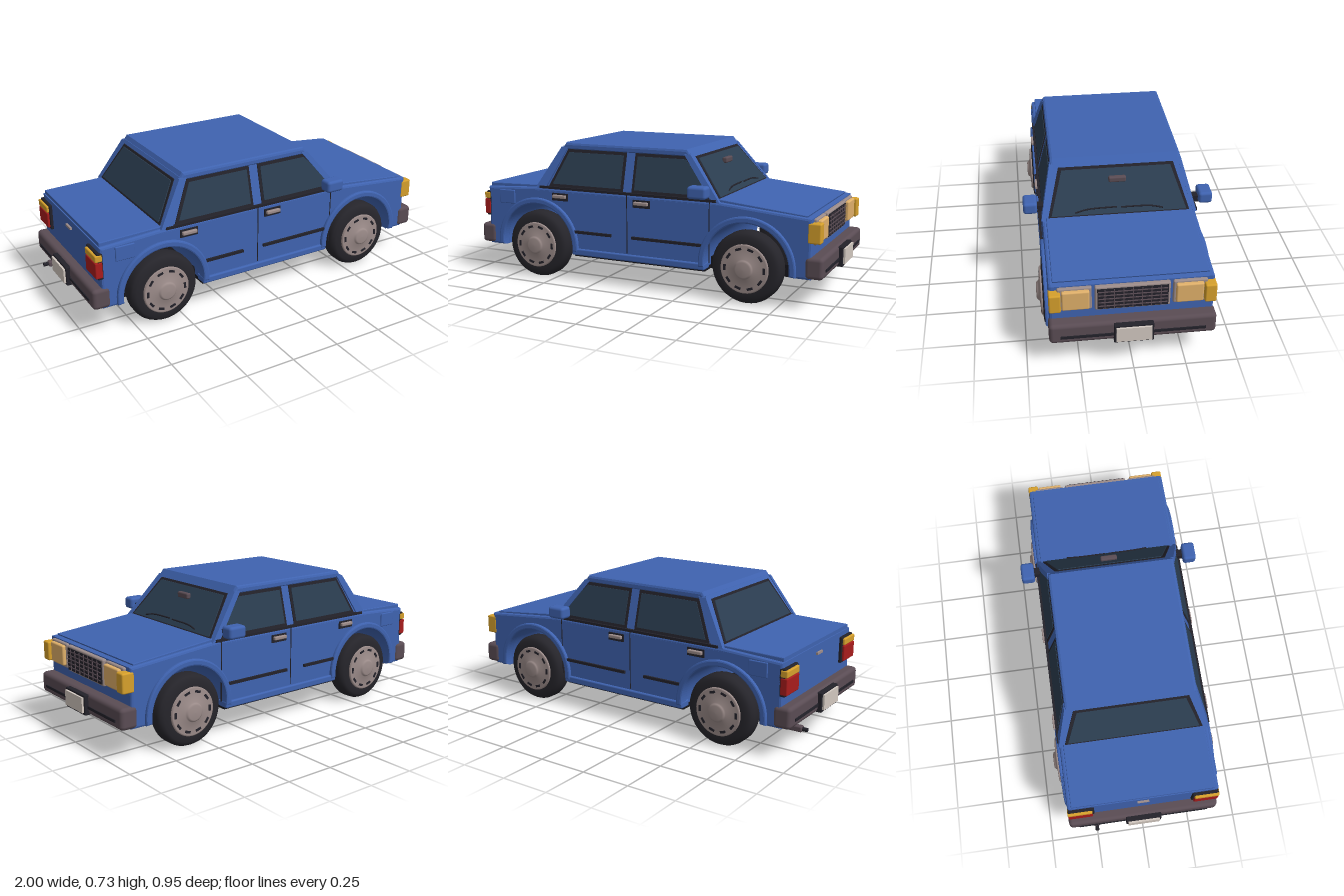
import * as THREE from 'three';
import { RoundedBoxGeometry } from 'three/addons/geometries/RoundedBoxGeometry.js';

const mat = (color, o = {}) => new THREE.MeshStandardMaterial({ color, ...o });
const BLUE = mat(0x3f63b0), DARK = mat(0x23222a), GLASS = mat(0x2b3d50), BROWN = mat(0x5a4c54),
  CHROME = mat(0x9c8c8a), AMBER = mat(0xd6a02c), LAMP = mat(0xe0b06a), RED = mat(0xa81c1c),
  PLATE = mat(0xd2c8c0), TYRE = mat(0x26252b);

function add(parent, name, geo, material, x = 0, y = 0, z = 0) {
  const m = new THREE.Mesh(geo, material);
  m.name = name;
  m.position.set(x, y, z);
  parent.add(m);
  return m;
}

// Box given by its low and high limits, rounded when r > 0
function box(parent, name, material, [x0, x1], [y0, y1], [z0, z1], r = 0) {
  const s = [x1 - x0, y1 - y0, z1 - z0];
  const geo = r ? new RoundedBoxGeometry(...s, 2, r) : new THREE.BoxGeometry(...s);
  return add(parent, name, geo, material, (x0 + x1) / 2, (y0 + y1) / 2, (z0 + z1) / 2);
}

const poly = (pts) => new THREE.Shape(pts.map((p) => new THREE.Vector2(...p)));

// Extrusion from z0 to z1 with an inset bevel
function slab(shape, z0, z1, bevel = 0) {
  const geo = new THREE.ExtrudeGeometry(shape, {
    depth: z1 - z0 - 2 * bevel, bevelEnabled: bevel > 0, bevelSize: bevel, bevelThickness: bevel,
    bevelOffset: -bevel, bevelSegments: 2, curveSegments: 28,
  });
  return geo.translate(0, 0, z0 + bevel);
}

// Shift vertices along one axis depending on height
function lean(geo, axis, rule) {
  const p = geo.attributes.position;
  for (let i = 0; i < p.count; i++) p.setComponent(i, axis, p.getComponent(i, axis) + rule(p.getY(i)));
  geo.computeVertexNormals();
  return geo;
}

// Slopes of the cabin walls
const sideZ = (y) => 0.38 - (y - 0.5) * 0.26;
const screenX = (y) => 0.44 - (y - 0.5) * 0.8;
const rearX = (y) => -0.6 + (y - 0.5) * 0.6;
const WHEELS = [-0.6, 0.59];

function bodyShell() {
  const s = new THREE.Shape();
  s.moveTo(-0.92, 0.16);
  for (const cx of WHEELS) {
    s.lineTo(cx - 0.22, 0.16);
    s.absarc(cx, 0.19, 0.22, Math.PI, 0, true);
    s.lineTo(cx + 0.22, 0.16);
  }
  for (const p of [[0.91, 0.16], [0.91, 0.455], [0.43, 0.497], [-0.6, 0.497], [-0.92, 0.48]]) s.lineTo(...p);
  return slab(s, -0.385, 0.385, 0.012);
}

// Cabin from a lower and an upper rectangle
function cabinGeometry() {
  const g = new THREE.BoxGeometry(1, 1, 1);
  const p = g.attributes.position;
  for (let i = 0; i < p.count; i++) {
    const y = p.getY(i) > 0 ? 0.72 : 0.48;
    p.setXYZ(i, p.getX(i) > 0 ? screenX(y) : rearX(y), y, Math.sign(p.getZ(i)) * sideZ(y));
  }
  g.computeVertexNormals();
  return g;
}

function wheel() {
  const g = new THREE.Group();
  g.name = 'wheel';
  const lathe = (pts) => new THREE.LatheGeometry(pts.map((p) => new THREE.Vector2(...p)), 40).rotateX(Math.PI / 2);
  add(g, 'tyre', lathe([[0, -0.055], [0.12, -0.055], [0.155, -0.052], [0.172, -0.04], [0.18, -0.02],
    [0.18, 0.025], [0.172, 0.042], [0.155, 0.054], [0.12, 0.057], [0, 0.05]]), TYRE);
  add(g, 'hubcap', lathe([[0.122, 0.04], [0.122, 0.062], [0.115, 0.067], [0.1, 0.063],
    [0.05, 0.072], [0.045, 0.08], [0.036, 0.085], [0, 0.086]]), CHROME);
  for (let i = 0; i < 10; i++) {
    const a = (i / 10) * Math.PI * 2;
    const slot = add(g, 'hubcapSlot', new THREE.BoxGeometry(0.012, 0.03, 0.01), DARK,
      Math.cos(a) * 0.1, Math.sin(a) * 0.1, 0.062);
    slot.rotation.z = a;
  }
  return g;
}

// Everything on the +z side, later mirrored
function sideParts() {
  const g = new THREE.Group();
  g.name = 'sideParts';
  const panel = (name, pts, z, m) => add(g, name, lean(slab(poly(pts), -0.01, z), 2, sideZ), m);
  panel('rearDoorFrame', [[-0.53, 0.505], [-0.085, 0.505], [-0.085, 0.705], [-0.435, 0.705]], 0.004, DARK);
  panel('rearDoorGlass', [[-0.505, 0.522], [-0.1, 0.522], [-0.1, 0.69], [-0.425, 0.69]], 0.007, GLASS);
  panel('frontDoorFrame', [[-0.035, 0.505], [0.405, 0.505], [0.405, 0.54], [0.255, 0.705], [-0.035, 0.705]], 0.004, DARK);
  panel('frontDoorGlass', [[-0.02, 0.522], [0.385, 0.522], [0.385, 0.543], [0.247, 0.69], [-0.02, 0.69]], 0.007, GLASS);
  panel('windscreenPillar', [[0.405, 0.5], [0.445, 0.5], [0.27, 0.715], [0.235, 0.715]], 0.009, BLUE);
  panel('rearPillar', [[-0.605, 0.5], [-0.545, 0.5], [-0.435, 0.715], [-0.475, 0.715]], 0.009, BLUE);
  box(g, 'beltTrim', DARK, [-0.58, 0.43], [0.495, 0.508], [0.36, 0.394]);

  for (const cx of WHEELS) {
    const s = new THREE.Shape();
    s.absarc(cx, 0.19, 0.25, -0.1, Math.PI + 0.1, false);
    s.absarc(cx, 0.19, 0.217, Math.PI + 0.1, -0.1, true);
    add(g, 'archFlare', slab(s, 0.35, 0.402, 0.008), BLUE);
    const w = wheel();
    w.position.set(cx, 0.187, 0.35);
    g.add(w);
  }

  box(g, 'sill', BLUE, [-0.385, 0.375], [0.15, 0.185], [0.33, 0.398], 0.008);
  for (const [x0, x1] of [[-0.37, -0.15], [-0.03, 0.37]])
    box(g, 'rubStrip', DARK, [x0, x1], [0.268, 0.282], [0.38, 0.397]);
  for (const x of [-0.06, 0.395]) box(g, 'doorSeam', DARK, [x - 0.002, x + 0.002], [0.19, 0.497], [0.38, 0.387]);
  for (const x of [-0.457, 0.025]) {
    box(g, 'handleRecess', DARK, [x - 0.048, x + 0.048], [0.434, 0.474], [0.38, 0.391]);
    box(g, 'doorHandle', CHROME, [x - 0.04, x + 0.04], [0.448, 0.466], [0.385, 0.406], 0.005);
  }
  box(g, 'fuelFlap', BLUE, [-0.845, -0.745], [0.395, 0.47], [0.375, 0.391], 0.005);

  box(g, 'mirrorArm', DARK, [0.345, 0.385], [0.518, 0.552], [0.36, 0.415]);
  box(g, 'mirrorHousing', BLUE, [0.31, 0.41], [0.518, 0.58], [0.405, 0.475], 0.015);

  // Lamps at both ends
  box(g, 'headlightFrame', CHROME, [0.89, 0.925], [0.323, 0.45], [0.188, 0.348], 0.008);
  box(g, 'headlight', LAMP, [0.9, 0.943], [0.337, 0.44], [0.2, 0.328], 0.008);
  box(g, 'frontIndicator', AMBER, [0.89, 0.955], [0.337, 0.435], [0.332, 0.387], 0.008);
  box(g, 'tailLightFrame', DARK, [-0.935, -0.9], [0.318, 0.455], [0.252, 0.385], 0.006);
  box(g, 'tailLight', RED, [-0.947, -0.91], [0.327, 0.41], [0.262, 0.388], 0.006);
  box(g, 'rearIndicator', AMBER, [-0.947, -0.91], [0.412, 0.447], [0.262, 0.388], 0.006);
  return g;
}

export function createModel() {
  const car = new THREE.Group();
  car.name = 'car';

  add(car, 'body', bodyShell(), BLUE);
  box(car, 'floorPan', mat(0x17161b), [-0.79, 0.79], [0.14, 0.2], [-0.295, 0.295]);
  box(car, 'floorMiddle', mat(0x17161b), [-0.38, 0.37], [0.14, 0.165], [-0.375, 0.375]);

  // Bonnet and boot lid
  add(car, 'bonnet', slab(poly([[0.43, 0.49], [0.88, 0.45], [0.885, 0.465], [0.43, 0.51]]), -0.365, 0.365, 0.004), BLUE);
  add(car, 'bootLid', slab(poly([[-0.915, 0.47], [-0.58, 0.48], [-0.58, 0.508], [-0.915, 0.5]]), -0.365, 0.365, 0.004), BLUE);

  // Cabin and roof
  add(car, 'cabin', cabinGeometry(), BLUE);
  add(car, 'roof', slab(poly([[-0.478, 0.7], [0.28, 0.7], [0.25, 0.74], [-0.452, 0.74]]), -0.33, 0.33, 0.014), BLUE);

  // Windscreen and rear window
  const screen = (name, b, t, y0, y1, depth, m, front) => {
    const geo = slab(poly([[-b, y0], [b, y0], [t, y1], [-t, y1]]), -0.01, depth);
    geo.rotateY(front ? Math.PI / 2 : -Math.PI / 2);
    add(car, name, lean(geo, 0, front ? screenX : rearX), m);
  };
  screen('windscreenFrame', 0.355, 0.29, 0.503, 0.702, 0.004, DARK, true);
  screen('windscreen', 0.338, 0.275, 0.515, 0.692, 0.008, GLASS, true);
  screen('rearWindowFrame', 0.355, 0.29, 0.51, 0.702, 0.004, DARK, false);
  screen('rearWindow', 0.338, 0.275, 0.52, 0.692, 0.008, GLASS, false);
  box(car, 'rearViewMirror', BROWN, [0.325, 0.352], [0.64, 0.67], [-0.044, 0.044], 0.008);
  for (const [a, b] of [[0.22, 0.01], [-0.01, -0.22]]) {
    const pts = [[a, a > 0 ? 0.527 : 0.54], [a > 0 ? 0.16 : -0.16, 0.538], [b, b > 0 ? 0.542 : 0.528]];
    const path = new THREE.CatmullRomCurve3(pts.map(([z, y]) => new THREE.Vector3(screenX(y) + 0.014, y, z)));
    add(car, 'wiper', new THREE.TubeGeometry(path, 8, 0.004, 6), DARK);
  }

  // Grille
  box(car, 'grilleFrame', CHROME, [0.89, 0.93], [0.318, 0.45], [-0.175, 0.175], 0.008);
  box(car, 'grille', DARK, [0.9, 0.934], [0.328, 0.44], [-0.164, 0.164]);
  for (let i = 0; i < 5; i++) {
    const y = 0.345 + i * 0.02;
    box(car, 'grilleSlat', BROWN, [0.93, 0.938], [y - 0.002, y + 0.002], [-0.16, 0.16]);
  }
  for (let i = -3; i <= 3; i++)
    box(car, 'grilleBar', BROWN, [0.93, 0.938], [0.33, 0.438], [i * 0.043 - 0.002, i * 0.043 + 0.002]);

  // Bumpers and number plates
  for (const s of [1, -1]) {
    const span = (a, b) => (s > 0 ? [a, b] : [-b, -a]);
    box(car, 'bumper', BROWN, span(0.88, 0.97), [0.165, 0.272], [-0.392, 0.392], 0.02);
    box(car, 'bumperStrip', DARK, span(0.95, 0.975), [0.197, 0.211], [-0.34, 0.34]);
    box(car, 'plateHolder', DARK, span(0.96, 0.99), [0.165, 0.265], [-0.093, 0.093], 0.004);
    box(car, 'plate', PLATE, span(0.97, 1), [0.178, 0.255], [-0.083, 0.083]);
  }
  box(car, 'bootLatch', CHROME, [-0.93, -0.91], [0.432, 0.444], [-0.03, 0.03]);

  // Exhaust
  box(car, 'silencer', BROWN, [-0.97, -0.815], [0.115, 0.145], [-0.265, -0.232], 0.008);
  add(car, 'tailpipe', new THREE.CylinderGeometry(0.01, 0.01, 0.06, 12).rotateZ(Math.PI / 2), DARK, -0.965, 0.13, -0.249);

  // Left and right sides
  const near = sideParts();
  const far = near.clone();
  far.scale.z = -1;
  car.add(near, far);
  return car;
}
